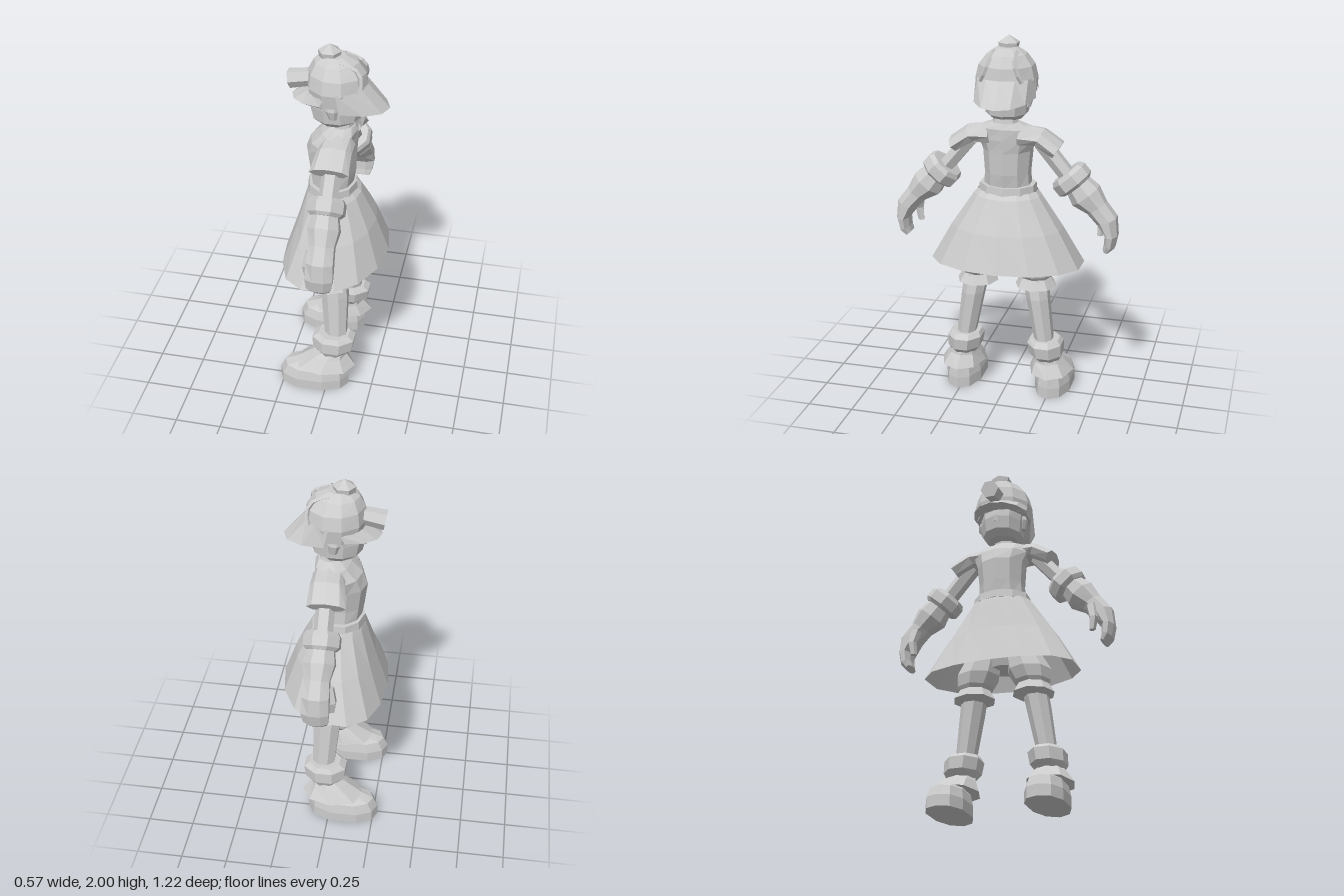
import * as THREE from 'three';

const cloth = new THREE.MeshStandardMaterial({ color: 0xcccccc, side: THREE.DoubleSide });
cloth.name = 'light grey';

// Point on a ring [x, y, z, rx, rz, tilt, slope, frontPower]; tilt turns the ring about the x axis
function ringPoint([x, y, z, rx, rz, tilt = 0, slope = 0, power = 1], t) {
  let c = Math.cos(t);
  const s = Math.sin(t);
  if (c < 0) c = -Math.pow(-c, power);
  return new THREE.Vector3(x + rx * c, y + rz * s * Math.sin(tilt) + slope * c, z + rz * s * Math.cos(tilt));
}

// Faceted skin through rings; an arc makes an open sheet
function loft(name, rings, { n = 8, caps = true, arc = null, turn = 0 } = {}) {
  const pts = [], tris = [];
  const at = (i, j) => ringPoint(rings[i], arc ? arc[0] + (arc[1] - arc[0]) * j / n : turn + (j % n) / n * Math.PI * 2);
  for (let i = 0; i < rings.length - 1; i++)
    for (let j = 0; j < n; j++) {
      const a = at(i, j), b = at(i, j + 1), c = at(i + 1, j), d = at(i + 1, j + 1);
      tris.push([a, c, b], [b, c, d]);
    }
  if (caps && !arc)
    for (const i of [0, rings.length - 1]) {
      const m = new THREE.Vector3(...rings[i].slice(0, 3));
      for (let j = 0; j < n; j++) tris.push(i ? [m, at(i, j + 1), at(i, j)] : [m, at(i, j), at(i, j + 1)]);
    }
  // Turn the skin outward whichever way the rings run
  const o = new THREE.Vector3(...rings[0].slice(0, 3));
  let volume = 0;
  for (const [a, b, c] of tris) volume += a.clone().sub(o).dot(b.clone().sub(o).cross(c.clone().sub(o)));
  for (const [a, b, c] of tris) pts.push(a, ...(volume < 0 ? [c, b] : [b, c]));
  const g = new THREE.BufferGeometry().setFromPoints(pts);
  g.computeVertexNormals();
  const mesh = new THREE.Mesh(g, cloth);
  mesh.name = name;
  return mesh;
}

export function createModel() {
  const model = new THREE.Group();
  model.name = 'figure';
  const add = (...args) => model.add(loft(...args));
  const addSolid = (name, geo, x, y, z) => {
    const g = geo.index ? geo.toNonIndexed() : geo;
    g.computeVertexNormals();
    const m = new THREE.Mesh(g, cloth);
    m.name = name;
    m.position.set(x, y, z);
    model.add(m);
    return m;
  };

  // Dress
  add('skirt', [
    [-0.025, 1.175, 0, 0.125, 0.165],
    [-0.015, 1.15, 0, 0.145, 0.185],
    [0, 0.97, 0, 0.215, 0.305, 0, 0.01, 0.75],
    [0, 0.765, 0, 0.286, 0.42, 0, 0.022, 0.62],
  ], { n: 14, caps: false });
  add('belt', [
    [-0.025, 1.165, 0, 0.135, 0.16],
    [-0.025, 1.21, 0, 0.13, 0.155],
  ], { n: 10 });
  add('torso', [
    [-0.025, 1.19, 0, 0.11, 0.13],
    [-0.025, 1.28, 0, 0.125, 0.125],
    [-0.03, 1.40, 0, 0.135, 0.135],
    [-0.015, 1.47, 0, 0.125, 0.16],
    [0.015, 1.53, 0, 0.095, 0.15],
    [0.03, 1.56, 0, 0.065, 0.08],
  ], { n: 10 });
  add('neck', [[0.03, 1.54, 0, 0.065, 0.075], [0.025, 1.61, 0, 0.055, 0.06]]);
  add('pelvis', [[0.01, 0.80, 0, 0.08, 0.12], [0, 0.95, 0, 0.13, 0.19], [-0.02, 1.17, 0, 0.11, 0.13]]);

  // Head
  add('face', [
    [-0.01, 1.575, 0, 0.085, 0.085],
    [-0.005, 1.605, 0, 0.13, 0.113],
    [-0.008, 1.675, 0, 0.143, 0.12],
    [0, 1.76, 0, 0.14, 0.13],
  ], { n: 10 });
  addSolid('nose', new THREE.ConeGeometry(0.02, 0.04, 4), -0.145, 1.665, 0).rotation.z = 0.4;
  add('capDome', [
    [0, 1.715, 0, 0.145, 0.155],
    [0, 1.79, 0, 0.158, 0.165],
    [0, 1.86, 0, 0.148, 0.148],
    [-0.005, 1.915, 0, 0.115, 0.105],
    [-0.015, 1.945, 0, 0.06, 0.055],
  ], { n: 10 });
  add('capKnob', [
    [-0.04, 1.925, 0, 0.055, 0.05],
    [-0.04, 1.965, 0, 0.06, 0.058],
    [-0.04, 2.0, 0, 0.003, 0.003],
  ], { n: 6 });
  add('neckFlap', [
    [0, 1.80, 0, 0.158, 0.163],
    [0.01, 1.70, 0, 0.262, 0.165, 0, -0.025],
  ], { n: 6, arc: [-1.45, 1.45] });
  add('frontBrim', [
    [0, 1.765, 0, 0.155, 0.16],
    [0, 1.73, 0, 0.235, 0.16, 0, 0.022],
    [0, 1.715, 0, 0.15, 0.155, 0, 0.005],
  ], { n: 6, arc: [Math.PI - 1.3, Math.PI + 1.3] });
  const lamp = addSolid('capLamp', new THREE.CylinderGeometry(0.052, 0.045, 0.14, 6), -0.18, 1.80, 0);
  lamp.rotation.z = Math.PI / 2 + 0.17;

  for (const s of [1, -1]) {
    // Mirrors rings defined for the +z side
    const side = (name, rings, opt) =>
      add(name, rings.map(([x, y, z, rx, rz, tilt = 0, ...rest]) => [x, y, z * s, rx, rz, tilt * s, ...rest]), opt);

    // Cap ribs and ears
    const rib = new THREE.CatmullRomCurve3([[0.03, 1.93, 0.06], [0.105, 1.90, 0.065], [0.135, 1.85, 0.08], [0.125, 1.79, 0.11]]
      .map(([x, y, z]) => new THREE.Vector3(x, y, z * s)));
    addSolid('capRib', new THREE.TubeGeometry(rib, 5, 0.012, 4), 0, 0, 0);
    side('ear', [[0, 1.64, 0.117, 0.02, 0.012], [-0.005, 1.69, 0.125, 0.032, 0.018], [-0.005, 1.73, 0.122, 0.025, 0.012]], { n: 6 });

    // Sleeve and arm
    side('sleeve', [
      [0.025, 1.49, 0.08, 0.085, 0.06, 1.4],
      [0.02, 1.485, 0.185, 0.09, 0.05, 1.1],
      [0.012, 1.42, 0.28, 0.102, 0.045, 1.0],
    ], { n: 8 });
    side('upperArm', [
      [0.02, 1.46, 0.19, 0.05, 0.045, 0.75],
      [0.02, 1.28, 0.34, 0.05, 0.045, 0.75],
    ], { n: 6 });
    side('cuff', [
      [0.02, 1.302, 0.325, 0.085, 0.092, 0.72],
      [0.02, 1.285, 0.34, 0.1, 0.108, 0.72],
      [0.02, 1.245, 0.375, 0.1, 0.108, 0.72],
      [0.02, 1.232, 0.387, 0.08, 0.09, 0.72],
    ], { n: 8, turn: Math.PI / 8 });
    side('glove', [
      [0.02, 1.25, 0.38, 0.07, 0.07, 0.72],
      [0.022, 1.185, 0.435, 0.088, 0.09, 0.68],
      [0.025, 1.125, 0.495, 0.07, 0.062, 0.6],
      [0.025, 1.06, 0.55, 0.076, 0.06, 0.35],
      [0.025, 0.98, 0.578, 0.078, 0.036, 0],
      [0.022, 0.92, 0.57, 0.07, 0.032, -0.35],
      [0.02, 0.888, 0.55, 0.055, 0.02, -0.6],
    ], { n: 8, turn: Math.PI / 8 });
    side('thumb', [
      [-0.035, 1.09, 0.50, 0.03, 0.03, 0.3],
      [-0.055, 1.01, 0.515, 0.024, 0.025],
      [-0.05, 0.94, 0.505, 0.018, 0.018],
    ], { n: 5 });

    // Bloomers and leg
    side('bloomer', [
      [0, 0.90, 0.10, 0.10, 0.09],
      [0, 0.77, 0.145, 0.12, 0.12],
      [0, 0.71, 0.16, 0.10, 0.10],
      [0, 0.685, 0.165, 0.08, 0.08],
    ]);
    side('bloomerFrill', [
      [0, 0.70, 0.163, 0.08, 0.08],
      [0, 0.64, 0.165, 0.118, 0.115],
      [0.01, 0.625, 0.168, 0.07, 0.07],
    ], { n: 8 });
    side('leg', [
      [0.01, 0.69, 0.165, 0.075, 0.07],
      [0.025, 0.58, 0.183, 0.078, 0.066],
      [0.038, 0.33, 0.222, 0.064, 0.054],
    ], { n: 8, turn: Math.PI / 8 });

    // Boot
    side('ankleBand', [
      [0.03, 0.34, 0.225, 0.09, 0.085],
      [0.028, 0.315, 0.228, 0.125, 0.102],
      [0.025, 0.25, 0.235, 0.118, 0.097],
      [0.025, 0.215, 0.24, 0.075, 0.075],
    ], { n: 8, turn: Math.PI / 8 });
    side('bootFrill', [
      [0.025, 0.225, 0.24, 0.075, 0.075],
      [0.005, 0.20, 0.245, 0.10, 0.09],
      [-0.02, 0.135, 0.255, 0.175, 0.125],
      [-0.02, 0.125, 0.255, 0.12, 0.09],
    ], { n: 8 });
    side('shoe', [
      [-0.078, 0, 0.26, 0.198, 0.105, 0, 0, 0.7],
      [-0.078, 0.06, 0.26, 0.196, 0.105, 0, 0, 0.7],
      [-0.07, 0.115, 0.26, 0.178, 0.092, 0, 0, 0.7],
      [-0.05, 0.14, 0.255, 0.14, 0.075],
      [0.01, 0.2, 0.245, 0.085, 0.065],
    ], { n: 10 });
  }
  return model;
}
